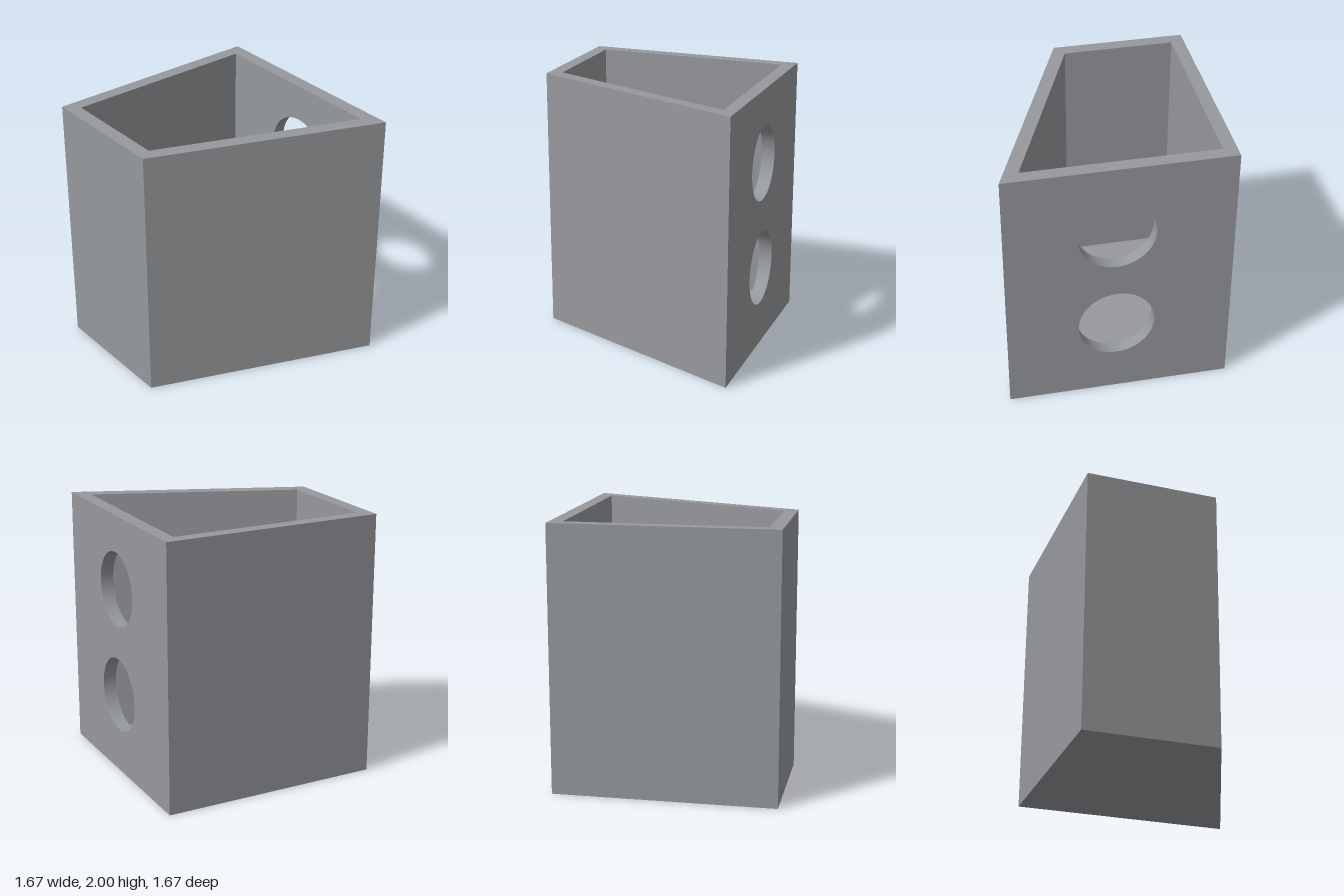
import * as THREE from 'three';
import { mergeGeometries } from 'three/addons/utils/BufferGeometryUtils.js';

const HEIGHT = 2, FLOOR = 0.1, WALL = 0.1, HALF = 0.833;
const HOLE_RADIUS = 0.283, HOLE_Z = 0.022, HOLE_HEIGHTS = [0.62, 1.44];

// Plan corners [x, z]: front right side, then round the back
const outer = [[-HALF, 0.167], [HALF, HALF], [HALF, -HALF], [-HALF, -HALF]];
const inner = [[-0.733, 0.099], [0.733, 0.685], [0.733, -0.733], [-0.733, -0.733]];

// Upright face from p to q, facing right-hand side of travel; pierced on the +x side
function wallFace(p, q, bottom) {
  const length = Math.hypot(q[0] - p[0], q[1] - p[1]);
  const shape = new THREE.Shape([[0, bottom], [length, bottom], [length, HEIGHT], [0, HEIGHT]]
    .map(([x, y]) => new THREE.Vector2(x, y)));
  if (p[0] > 0 && q[0] > 0) {
    for (const y of HOLE_HEIGHTS) {
      shape.holes.push(new THREE.Path().absarc(Math.abs(HOLE_Z - p[1]), y, HOLE_RADIUS, 0, Math.PI * 2, true));
    }
  }
  return new THREE.ShapeGeometry(shape, 32)
    .rotateY(Math.atan2(p[1] - q[1], q[0] - p[0]))
    .translate(p[0], 0, p[1]);
}

// Level face over a plan outline, facing up (1) or down (-1)
function levelFace(outline, y, facing, cutout) {
  const toPoints = (pts) => pts.map(([x, z]) => new THREE.Vector2(x, -facing * z));
  const shape = new THREE.Shape(toPoints(outline));
  if (cutout) shape.holes.push(new THREE.Path(toPoints(cutout)));
  return new THREE.ShapeGeometry(shape).rotateX(-facing * Math.PI / 2).translate(0, y, 0);
}

export function createModel() {
  const group = new THREE.Group();
  group.name = 'slantedOpenBox';
  const material = new THREE.MeshStandardMaterial({ color: 0x96999d });
  const add = (name, geometry, mat = material) => {
    const mesh = new THREE.Mesh(geometry, mat);
    mesh.name = name;
    group.add(mesh);
    return mesh;
  };

  // Outside and inside skins of the four walls
  add('outerWalls', mergeGeometries(outer.map((p, i) => wallFace(p, outer[(i + 1) % 4], 0))));
  add('innerWalls', mergeGeometries(inner.map((p, i) => wallFace(inner[(i + 1) % 4], p, FLOOR))));

  // Rim, floor and underside
  add('rim', levelFace(outer, HEIGHT, 1, inner));
  add('floor', levelFace(inner, FLOOR, 1));
  add('underside', levelFace(outer, 0, -1));

  // Linings of the round openings in the side wall
  const lining = material.clone();
  lining.side = THREE.DoubleSide;
  HOLE_HEIGHTS.forEach((y, i) => {
    const tube = new THREE.CylinderGeometry(HOLE_RADIUS, HOLE_RADIUS, WALL, 64, 1, true).rotateZ(Math.PI / 2);
    add(i ? 'upperHoleLining' : 'lowerHoleLining', tube, lining).position.set(HALF - WALL / 2, y, HOLE_Z);
  });

  return group;
}
